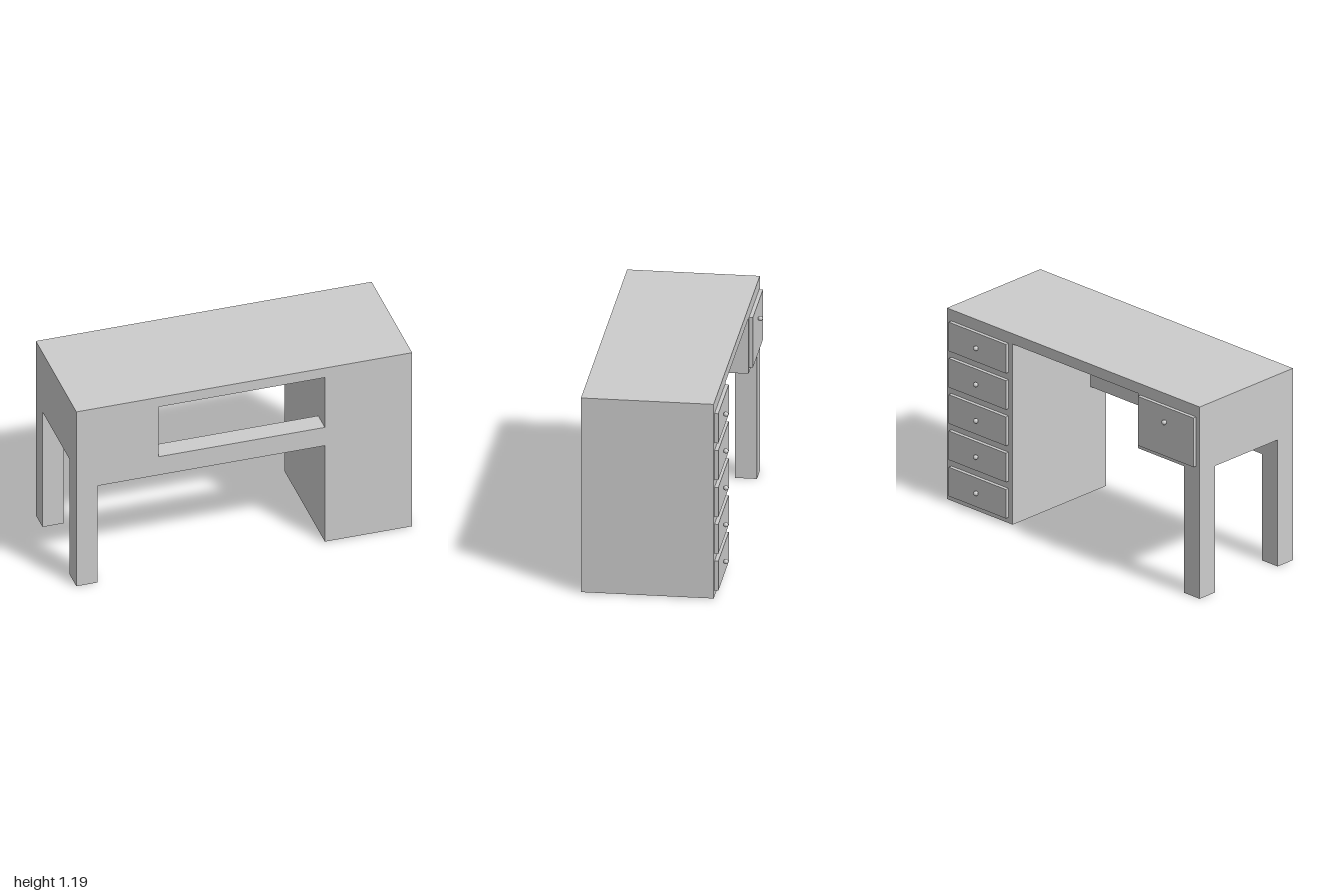
import * as THREE from 'three';

const material = new THREE.MeshStandardMaterial({ color: 0xcccccc });

// Box given by its limits on each axis
function box(name, [x0, x1], [y0, y1], [z0, z1]) {
  const mesh = new THREE.Mesh(new THREE.BoxGeometry(x1 - x0, y1 - y0, z1 - z0), material);
  mesh.position.set((x0 + x1) / 2, (y0 + y1) / 2, (z0 + z1) / 2);
  mesh.name = name;
  return mesh;
}

const BACK = -0.355, FRONT = 0.405, LEG = 0.125;
const TOP = 1.19, UNDER_TOP = 1.125, BOX_BOTTOM = 0.785, RAIL_BOTTOM = 0.66;

// Round knob on a short stem, pointing to -z
function knob(x, y) {
  const profile = [[0.007, 0], [0.007, 0.004]];
  for (let i = 0; i <= 10; i++) {
    const a = -Math.PI / 3 + (i / 10) * (Math.PI * 5 / 6);
    profile.push([0.0145 * Math.cos(a), 0.0145 + 0.0145 * Math.sin(a)]);
  }
  const points = profile.map(([r, h]) => new THREE.Vector2(Math.max(r, 0), h));
  const mesh = new THREE.Mesh(new THREE.LatheGeometry(points, 20), material);
  mesh.rotation.x = -Math.PI / 2;
  mesh.position.set(x, y, BACK - 0.021);
  mesh.name = 'knob';
  return mesh;
}

// Raised drawer front with its knob
function drawer(name, xs, ys, knobY) {
  const group = new THREE.Group();
  group.name = name;
  group.add(box('drawerFront', xs, ys, [BACK - 0.022, BACK]));
  group.add(knob((xs[0] + xs[1]) / 2, knobY));
  return group;
}

export function createModel() {
  const desk = new THREE.Group();
  desk.name = 'desk';

  // Top, drawer cabinet, drawer box and front rail
  desk.add(
    box('tabletop', [-1, 1], [UNDER_TOP, TOP], [BACK, FRONT]),
    box('cabinet', [0.48, 1], [0.005, UNDER_TOP], [BACK, FRONT]),
    box('drawerBox', [-1, -0.51], [BOX_BOTTOM, UNDER_TOP], [BACK, FRONT]),
    box('frontRail', [-1, 0.48], [RAIL_BOTTOM, BOX_BOTTOM], [FRONT - LEG, FRONT])
  );

  // Legs
  desk.add(
    box('frontLeg', [-1, -1 + LEG], [0, RAIL_BOTTOM], [FRONT - LEG, FRONT]),
    box('backLeg', [-1, -1 + LEG], [0, BOX_BOTTOM], [BACK, BACK + LEG])
  );

  // Five cabinet drawers and one deep drawer
  for (let i = 0; i < 5; i++) {
    const y = 1.03 - i * 0.225;
    desk.add(drawer('cabinetDrawer', [0.513, 0.965], [y - 0.09, y + 0.09], y));
  }
  desk.add(drawer('deepDrawer', [-0.972, -0.532], [0.815, 1.12], 1.03));

  return desk;
}
